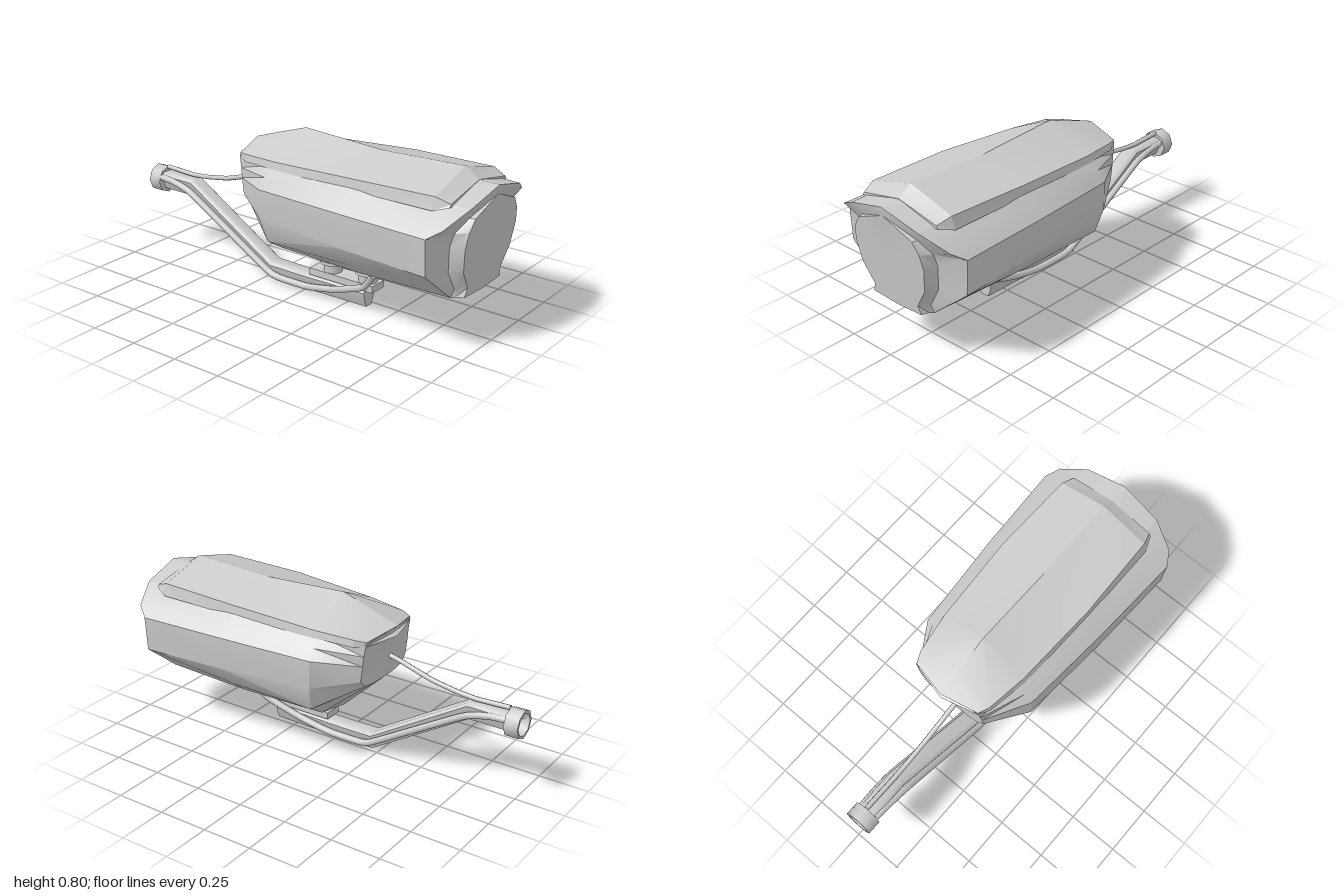
import * as THREE from 'three';
import { toCreasedNormals } from 'three/addons/utils/BufferGeometryUtils.js';

const material = new THREE.MeshStandardMaterial({ color: 0xcccccc, side: THREE.DoubleSide });

// half outline from bottom centre to top centre, mirrored into a full ring
const mirror = (half) => [...half, ...half.slice(1, -1).reverse().map(([x, y, z]) => [-x, y, z])];

// skin through rings ordered front to back
function loft(rings, { front = false, back = false, crease = 0.45 } = {}) {
  const n = rings[0].length, pos = [];
  const tri = (...p) => p.forEach((v) => pos.push(...v));
  for (let i = 0; i < rings.length - 1; i++) {
    for (let j = 0; j < n; j++) {
      const k = (j + 1) % n;
      const a = rings[i][j], b = rings[i][k], c = rings[i + 1][j], d = rings[i + 1][k];
      if (j < n / 2) { tri(a, c, b); tri(b, c, d); } else { tri(a, c, d); tri(a, d, b); }
    }
  }
  const cap = (ring, flip) => {
    const mid = [0, 1, 2].map((k) => ring.reduce((s, p) => s + p[k], 0) / n);
    ring.forEach((p, j) => {
      const q = ring[(j + 1) % n];
      if (flip) tri(mid, q, p); else tri(mid, p, q);
    });
  };
  if (front) cap(rings[0], false);
  if (back) cap(rings[rings.length - 1], true);
  const geo = new THREE.BufferGeometry();
  geo.setAttribute('position', new THREE.Float32BufferAttribute(pos, 3));
  return toCreasedNormals(geo, crease);
}

const lathe = (points, sides) => toCreasedNormals(
  new THREE.LatheGeometry(points.map(([r, y]) => new THREE.Vector2(r, y)), sides), 0.8);

export function createModel() {
  const model = new THREE.Group();
  const add = (name, geometry, x = 0, y = 0, z = 0) => {
    const mesh = new THREE.Mesh(geometry, material);
    mesh.name = name;
    mesh.position.set(x, y, z);
    model.add(mesh);
    return mesh;
  };

  // Lens: tilted face with a short side wall
  const face = mirror([[0, 0.237], [0.155, 0.246], [0.14, 0.29], [0.2, 0.385], [0.22, 0.5],
    [0.205, 0.575], [0.17, 0.63], [0, 0.698]].map(([x, y]) => [x, y, 0.94 + 0.12 * (y - 0.24)]));
  const base = mirror([[0, 0.23, 0.9], [0.16, 0.241, 0.9], [0.167, 0.28, 0.895], [0.215, 0.375, 0.89],
    [0.229, 0.5, 0.9], [0.225, 0.565, 0.92], [0.175, 0.63, 0.96], [0, 0.702, 0.996]]);
  add('lens', loft([face, base], { front: true }));

  // Bezel flaring from the lens out to the housing rim
  const rim = mirror([[0, 0.205, 0.86], [0.17, 0.235, 0.88], [0.27, 0.318, 0.875], [0.37, 0.4, 0.87],
    [0.38, 0.575, 0.87], [0.34, 0.615, 0.93], [0.21, 0.685, 0.985], [0, 0.74, 1]]);
  add('bezel', loft([base, rim]));

  // Housing tapering towards a chamfered back
  const middle = mirror([[0, 0.207], [0.2, 0.24], [0.285, 0.308], [0.352, 0.41],
    [0.358, 0.575], [0.31, 0.63], [0.245, 0.69], [0, 0.742]].map(([x, y]) => [x, y, 0.4]));
  const shoulder = mirror([[0, 0.21, -0.06], [0.19, 0.245, -0.06], [0.285, 0.305, -0.06], [0.32, 0.43, -0.08],
    [0.32, 0.57, -0.08], [0.28, 0.62, -0.08], [0.23, 0.665, -0.08], [0, 0.73, -0.08]]);
  const tail = mirror([[0, 0.425, -0.288], [0.1, 0.428, -0.287], [0.16, 0.435, -0.284], [0.195, 0.47, -0.28],
    [0.195, 0.55, -0.29], [0.193, 0.6, -0.295], [0.19, 0.66, -0.305], [0, 0.685, -0.335]]);
  add('housing', loft([rim, middle, shoulder, tail], { back: true }));

  // Ridged top cover: z, ridge height, edge half width, edge height, lip half width, lip height
  const cover = [
    [0.9, 0.742, 0.23, 0.695, 0.24, 0.68],
    [0.83, 0.79, 0.25, 0.72, 0.268, 0.66],
    [0.4, 0.775, 0.262, 0.712, 0.268, 0.66],
    [-0.05, 0.8, 0.24, 0.69, 0.25, 0.655],
    [-0.25, 0.735, 0.21, 0.68, 0.215, 0.645],
    [-0.305, 0.7, 0.185, 0.672, 0.185, 0.65],
  ].map(([z, top, w, edge, lipW, lip], i) => {
    const ridgeZ = i === 5 ? -0.352 : z;
    return mirror([[0, lip, ridgeZ], [lipW, lip, z], [w, edge, z], [0, top, ridgeZ]]);
  });
  add('topCover', loft(cover, { front: true, back: true, crease: 0.3 }));

  // Swivel mounts between housing and bracket
  for (const z of [0.355, 0.15]) {
    add('swivelMount', lathe([[0, 0], [0.045, 0], [0.045, 0.045], [0.064, 0.045], [0.064, 0.065],
      [0.073, 0.065], [0.073, 0.095], [0, 0.095]], 10), -0.047, 0.13, z);
  }

  // Bracket plate and bent arm
  add('bracketPlate', new THREE.BoxGeometry(0.095, 0.035, 0.37), -0.045, 0.1135, 0.225);
  const section = [[-0.022, -0.045], [0.022, -0.045], [0.036, -0.01], [0.045, 0.03], [0.03, 0.045],
    [-0.03, 0.045], [-0.045, 0.03], [-0.036, -0.01]];
  const arm = [[0.36, 0.05], [-0.05, 0.045], [-0.21, 0.047], [-0.73, 0.366], [-0.94, 0.366]]
    .map(([z, y]) => section.map(([sx, sy]) => [sx - 0.045, y + sy, z]));
  add('supportArm', loft(arm, { front: true, back: true, crease: 0.8 }));

  // Hollow collar at the wall end, open to the back
  const collar = lathe([[0, 0], [0.071, 0], [0.071, 0.07], [0.057, 0.07], [0.057, 0.015], [0, 0.015]], 8);
  collar.rotateX(-Math.PI / 2);
  add('wallCollar', collar, -0.043, 0.365, -0.93);

  // Cables: two along the arm, one from the back of the housing
  const cable = (name, points, radius) => {
    const curve = new THREE.CatmullRomCurve3(points.map((p) => new THREE.Vector3(...p)), false, 'catmullrom', 0.2);
    add(name, new THREE.TubeGeometry(curve, 40, radius, 8));
  };
  for (const s of [-1, 1]) {
    const path = [[0.112, 0.225, 0.46], [0.085, 0.135, 0.385], [0.06, 0.065, 0.2], [0.05, 0.03, 0.03],
      [0.05, 0.03, -0.14], [0.05, 0.05, -0.22], [0.05, 0.345, -0.72], [0.045, 0.382, -0.86], [0.04, 0.385, -0.975]];
    cable('armCable', path.map(([x, y, z]) => [-0.047 + s * x, y, z]), 0.017);
  }
  cable('rearCable', [[-0.04, 0.525, -0.27], [-0.04, 0.505, -0.35], [-0.04, 0.455, -0.52], [-0.04, 0.432, -0.66],
    [-0.04, 0.425, -0.76], [-0.04, 0.432, -0.93]], 0.012);

  return model;
}
